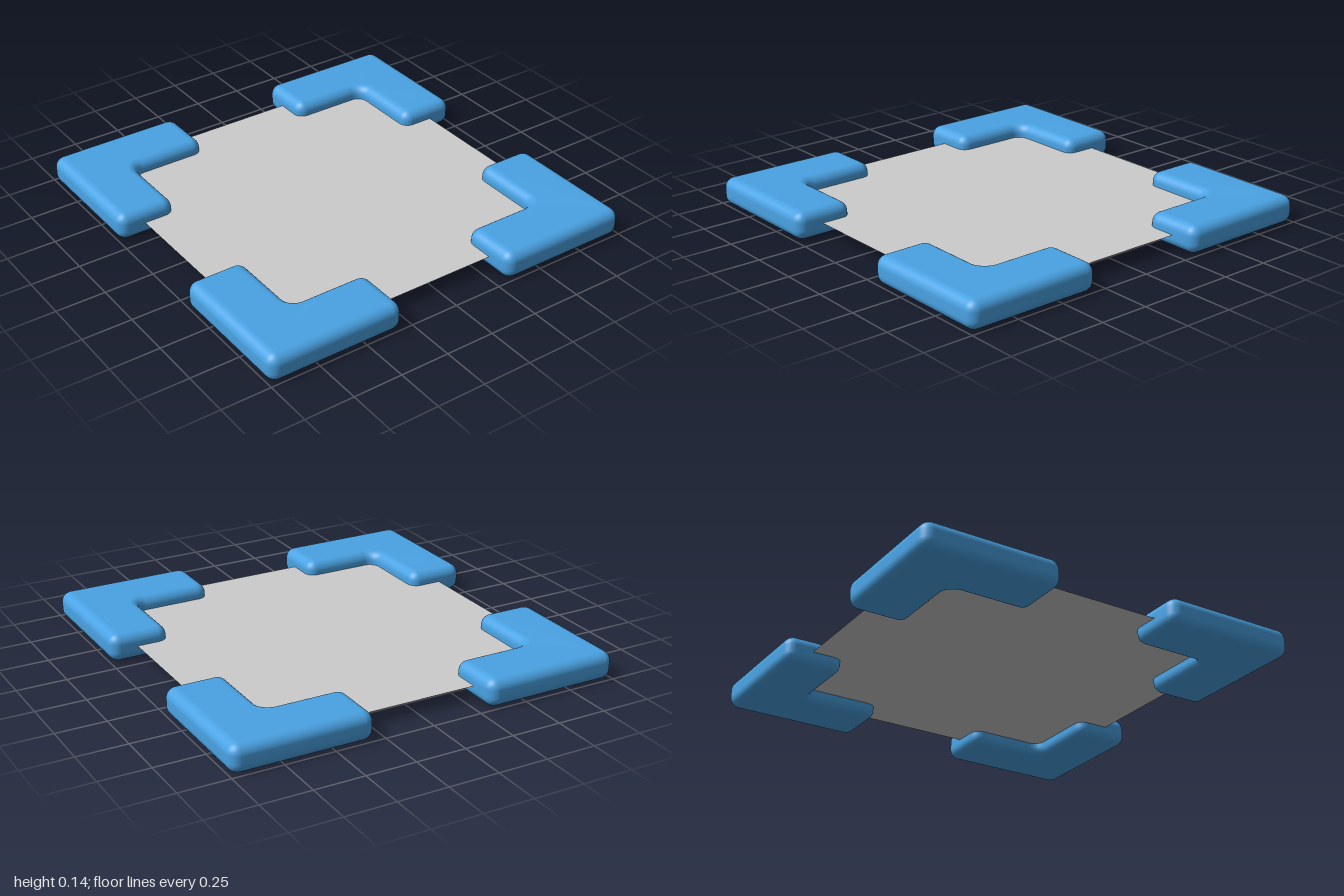
import * as THREE from 'three';

const HEIGHT = 0.139;  // bracket thickness
const BEVEL = 0.05;    // edge rounding
const OUTER_R = 0.052; // plan radius of convex corners
const INNER_R = 0.055; // plan radius of the concave corner
const ARC = 8;         // segments per corner arc and per edge rounding

// L outline, counter-clockwise: [x, y, start angle in quarter turns]
const CORNERS = [
  [0.7, 0.3, 2], [1, 0.3, 3], [1, 1, 0], [0.3, 1, 1], [0.3, 0.7, 2],
];

// L contour shrunk inward by d
function contour(d) {
  const pts = [];
  const arc = (cx, cy, r, start, turn) => {
    for (let i = 0; i <= ARC; i++) {
      const a = (start + turn * i / ARC) * Math.PI / 2;
      pts.push(new THREE.Vector2(cx + r * Math.cos(a), cy + r * Math.sin(a)));
    }
  };
  for (const [x, y, q] of CORNERS) {
    const mid = (q + 0.5) * Math.PI / 2;
    const cx = x - OUTER_R * Math.sign(Math.cos(mid));
    const cy = y - OUTER_R * Math.sign(Math.sin(mid));
    arc(cx, cy, OUTER_R - d, q, 1);
  }
  arc(0.7 - INNER_R, 0.7 - INNER_R, INNER_R + d, 1, -1);
  return pts;
}

// Soft-edged L block: stacked contours closed by flat caps
function bracketGeometry() {
  const layers = [];
  for (let i = 0; i <= ARC; i++) {
    const a = i / ARC * Math.PI / 2;
    layers.push([BEVEL * (1 - Math.sin(a)), BEVEL * (1 - Math.cos(a))]);
  }
  for (let i = ARC; i >= 0; i--) layers.push([layers[i][0], HEIGHT - layers[i][1]]);

  const pos = [], index = [];
  for (const [d, h] of layers) for (const p of contour(d)) pos.push(p.x, h, -p.y);

  const n = contour(0).length;
  const last = (layers.length - 1) * n;
  for (let i = 0; i < layers.length - 1; i++) {
    for (let j = 0; j < n; j++) {
      const k = (j + 1) % n;
      const a = i * n + j, b = i * n + k, c = b + n, e = a + n;
      index.push(a, b, c, a, c, e);
    }
  }
  for (const [a, b, c] of THREE.ShapeUtils.triangulateShape(contour(BEVEL), [])) {
    index.push(c, b, a, last + a, last + b, last + c);
  }

  const geo = new THREE.BufferGeometry();
  geo.setAttribute('position', new THREE.Float32BufferAttribute(pos, 3));
  geo.setIndex(index);
  geo.computeVertexNormals();
  return geo;
}

export function createModel() {
  const model = new THREE.Group();
  model.name = 'panelWithCornerBrackets';

  // Thin flat panel held at mid height
  const panel = new THREE.Mesh(
    new THREE.PlaneGeometry(1.73, 1.73).rotateX(-Math.PI / 2),
    new THREE.MeshStandardMaterial({ color: 0xcccccc, side: THREE.DoubleSide })
  );
  panel.name = 'panel';
  panel.position.y = HEIGHT / 2;
  model.add(panel);

  // Four identical corner brackets
  const geo = bracketGeometry();
  const blue = new THREE.MeshStandardMaterial({ color: 0x4aa3e4 });
  const names = ['backLeft', 'backRight', 'frontRight', 'frontLeft'];
  names.forEach((name, i) => {
    const bracket = new THREE.Mesh(geo, blue);
    bracket.name = name + 'Bracket';
    bracket.rotation.y = i * Math.PI / 2;
    model.add(bracket);
  });

  return model;
}
